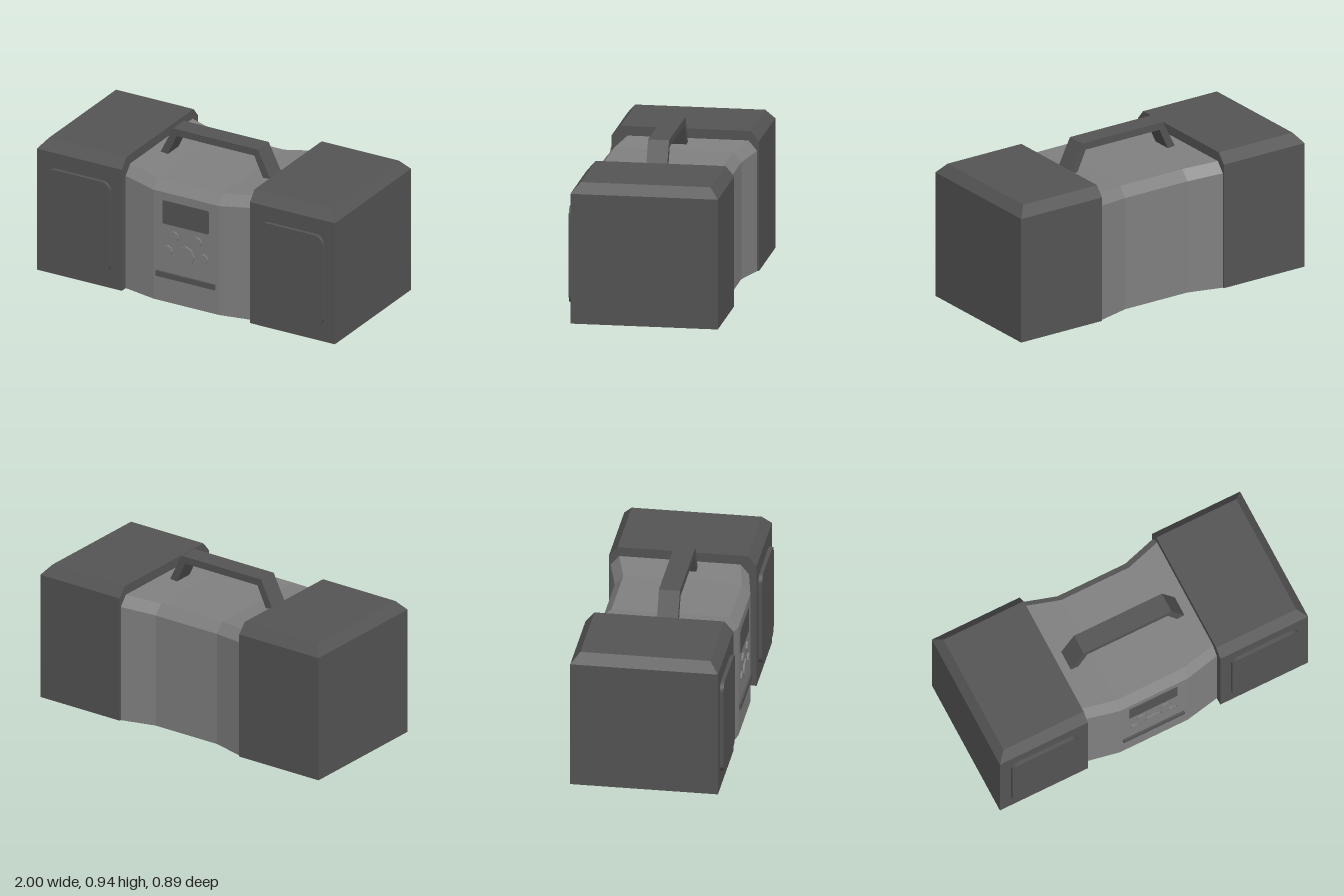
import * as THREE from 'three';

const shell = new THREE.MeshStandardMaterial({ color: 0x808080 });
shell.name = 'mid grey plastic';
const dark = new THREE.MeshStandardMaterial({ color: 0x545454 });
dark.name = 'dark grey plastic';

// Flat-faced solid through rings of [x, y, z] points, capped at both ends
function loft(rings) {
  const pos = [];
  const tri = (a, b, c) => pos.push(...a, ...b, ...c);
  const n = rings[0].length;
  for (let k = 0; k < rings.length - 1; k++) {
    const r = rings[k], s = rings[k + 1];
    for (let i = 0; i < n; i++) {
      const j = (i + 1) % n;
      tri(r[i], r[j], s[j]);
      tri(r[i], s[j], s[i]);
    }
  }
  const first = rings[0], last = rings[rings.length - 1];
  for (let i = 1; i < n - 1; i++) {
    tri(first[0], first[i + 1], first[i]);
    tri(last[0], last[i], last[i + 1]);
  }
  const g = new THREE.BufferGeometry();
  g.setAttribute('position', new THREE.Float32BufferAttribute(pos, 3));
  g.computeVertexNormals();
  return g;
}

function roundedRect(w, h, r) {
  const s = new THREE.Shape(), x = w / 2, y = h / 2;
  s.absarc(x - r, y - r, r, 0, Math.PI / 2);
  s.absarc(-x + r, y - r, r, Math.PI / 2, Math.PI);
  s.absarc(-x + r, -y + r, r, Math.PI, Math.PI * 1.5);
  s.absarc(x - r, -y + r, r, Math.PI * 1.5, Math.PI * 2);
  return s;
}

const extrude = (shape, depth) =>
  new THREE.ExtrudeGeometry(shape, { depth, bevelEnabled: false, curveSegments: 4 });

export function createModel() {
  const model = new THREE.Group();
  model.name = 'portableStereo';
  const add = (name, geometry, material, x = 0, y = 0, z = 0) => {
    const m = new THREE.Mesh(geometry, material);
    m.name = name;
    m.position.set(x, y, z);
    model.add(m);
    return m;
  };

  // Centre body: bowed front, hollowed back, chamfered upper edges
  const section = (x, front, back, top) => [
    [x, 0, front], [x, 0, back], [x, top - 0.06, back],
    [x, top, back + 0.05], [x, top, front - 0.05], [x, top - 0.06, front],
  ];
  add('centreBody', loft([
    section(-0.44, 0.375, -0.435, 0.776),
    section(-0.22, 0.418, -0.375, 0.755),
    section(0.22, 0.418, -0.375, 0.755),
    section(0.44, 0.375, -0.435, 0.776),
  ]), shell);

  // Speakers with chamfered tops and raised rounded grilles
  const level = (x0, x1, y, back, front) =>
    [[x0, y, front], [x1, y, front], [x1, y, back], [x0, y, back]];
  for (const side of [-1, 1]) {
    const label = side > 0 ? 'left' : 'right';
    const ring = (outer, y, back, front) => side > 0
      ? level(0.43, outer, y, back, front) : level(-outer, -0.43, y, back, front);
    add(label + 'Speaker', loft([
      ring(1, 0, -0.443, 0.421),
      ring(1, 0.772, -0.443, 0.421),
      ring(0.95, 0.832, -0.392, 0.369),
    ]), dark);
    add(label + 'Grille', extrude(roundedRect(0.43, 0.575, 0.055), 0.033), dark,
      side * 0.714, 0.387, 0.41);
  }

  // Carrying handle
  const handle = new THREE.Shape([
    [-0.383, 0.74], [-0.285, 0.936], [0.285, 0.936], [0.383, 0.74],
    [0.331, 0.74], [0.26, 0.893], [-0.26, 0.893], [-0.331, 0.74],
  ].map(p => new THREE.Vector2(...p)));
  add('handle', extrude(handle, 0.123), dark, 0, 0, -0.037);

  // Front panel: display, disc slot and buttons
  add('display', extrude(roundedRect(0.31, 0.148, 0.01), 0.009), dark, -0.003, 0.571, 0.413);
  add('slot', new THREE.BoxGeometry(0.395, 0.034, 0.03), dark, -0.002, 0.173, 0.415);
  const buttons = [
    [-0.08, 0.43, 0.032], [0.074, 0.43, 0.032],
    [-0.123, 0.333, 0.032], [0.117, 0.333, 0.032], [-0.003, 0.326, 0.06],
  ];
  for (const [x, y, r] of buttons) {
    const g = new THREE.CylinderGeometry(r, r, 0.03, 8).toNonIndexed();
    g.computeVertexNormals();
    add('button', g, shell, x, y, 0.413).rotation.x = Math.PI / 2;
  }
  return model;
}
